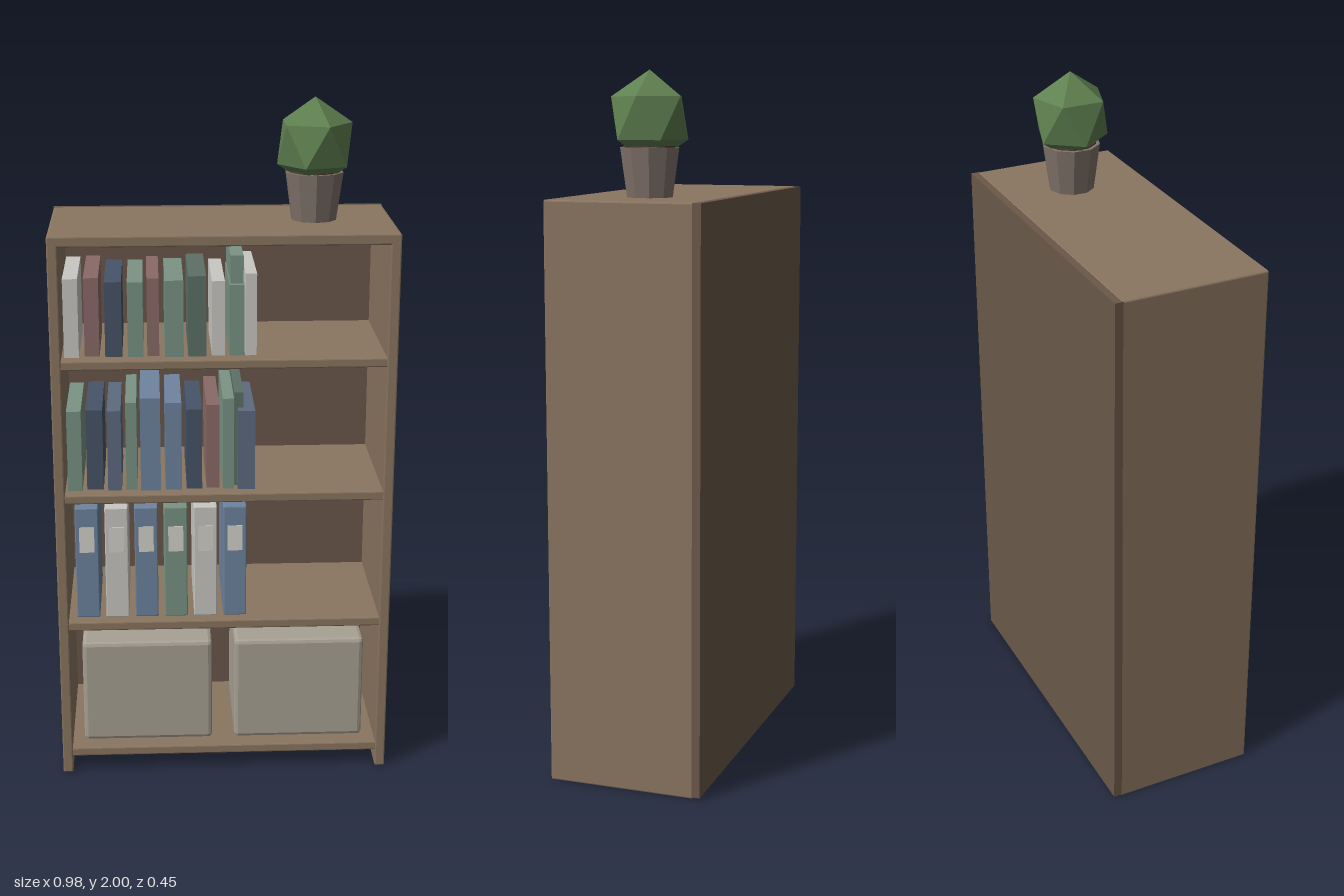
import * as THREE from 'three';
import { RoundedBoxGeometry } from 'three/addons/geometries/RoundedBoxGeometry.js';

const COLORS = {
  wood: 0x8a7560, back: 0x6b584a, carton: 0xa8a194, pot: 0x80736a, soil: 0x4a3c32, leaf: 0x5f8050,
  white: 0xc9c8c4, red: 0x8a6a68, navy: 0x475468, slate: 0x5d6a80, blue: 0x6f84a0,
  green: 0x7a9484, moss: 0x5c7066, label: 0xd6d3cb,
};
const materials = {};
function material(key) {
  materials[key] ??= new THREE.MeshStandardMaterial({ color: COLORS[key], flatShading: true });
  return materials[key];
}

// Box given by its minimum and maximum corners, with an optional edge chamfer
function block(parent, name, key, [x0, y0, z0], [x1, y1, z1], chamfer = 0) {
  const size = [x1 - x0, y1 - y0, z1 - z0];
  const geometry = chamfer ? new RoundedBoxGeometry(...size, 1, chamfer) : new THREE.BoxGeometry(...size);
  const mesh = new THREE.Mesh(geometry, material(key));
  mesh.name = name;
  mesh.position.set((x0 + x1) / 2, (y0 + y1) / 2, (z0 + z1) / 2);
  parent.add(mesh);
  return mesh;
}

function subgroup(parent, name) {
  const group = new THREE.Group();
  group.name = name;
  parent.add(group);
  return group;
}

export function createModel() {
  const model = new THREE.Group();
  model.name = 'bookcase';

  // Carcass: two sides, back, top and four shelves
  const carcass = subgroup(model, 'carcass');
  block(carcass, 'rightSide', 'wood', [-0.49, 0, -0.205], [-0.46, 1.652, 0.225], 0.004);
  block(carcass, 'leftSide', 'wood', [0.46, 0, -0.205], [0.49, 1.652, 0.225], 0.004);
  block(carcass, 'backPanel', 'back', [-0.49, 0.005, -0.225], [0.49, 1.652, -0.2]);
  block(carcass, 'topPanel', 'wood', [-0.488, 1.622, -0.205], [0.488, 1.653, 0.225], 0.004);
  const shelfTops = [0.08, 0.496, 0.896, 1.297];
  for (const y of shelfTops) {
    block(carcass, 'shelf', 'wood', [-0.465, y - 0.027, -0.205], [0.465, y, 0.222], 0.004);
  }

  // Storage boxes on the lowest shelf
  const cartons = subgroup(model, 'storageBoxes');
  for (const x of [-0.23, 0.227]) {
    block(cartons, 'storageBox', 'carton', [x - 0.195, 0.08, -0.16], [x + 0.195, 0.405, 0.175], 0.012);
  }

  // Binders with spine labels
  const binders = subgroup(model, 'binders');
  ['blue', 'white', 'blue', 'green', 'white', 'blue'].forEach((key, i) => {
    const x = -0.402 + i * 0.0868;
    block(binders, 'binder', key, [x - 0.034, 0.496, -0.125], [x + 0.034, 0.842, 0.185], 0.003);
    block(binders, 'spineLabel', 'label', [x - 0.022, 0.705, 0.18], [x + 0.022, 0.783, 0.188]);
  });

  // Rows of books: [left edge, right edge, height, color, front z]
  const rows = [
    [0.896, [
      [-0.452, -0.41, 0.241, 'green', 0.18], [-0.397, -0.349, 0.241, 'navy', 0.17],
      [-0.336, -0.296, 0.241, 'slate', 0.18], [-0.283, -0.251, 0.263, 'green', 0.175],
      [-0.241, -0.183, 0.279, 'blue', 0.185], [-0.169, -0.122, 0.263, 'blue', 0.18],
      [-0.108, -0.063, 0.241, 'navy', 0.175], [-0.05, -0.013, 0.253, 'red', 0.17],
      [-0.003, 0.029, 0.274, 'green', 0.18], [0.031, 0.058, 0.283, 'moss', 0.15],
      [0.04, 0.09, 0.238, 'slate', 0.185]]],
    [1.297, [
      [-0.452, -0.41, 0.227, 'white', 0.18], [-0.394, -0.352, 0.227, 'red', 0.17],
      [-0.336, -0.288, 0.216, 'navy', 0.175], [-0.272, -0.228, 0.216, 'green', 0.18],
      [-0.217, -0.183, 0.224, 'red', 0.17], [-0.167, -0.114, 0.221, 'green', 0.185],
      [-0.101, -0.05, 0.232, 'moss', 0.18], [-0.034, 0.003, 0.216, 'white', 0.175],
      [0.019, 0.056, 0.285, 'green', 0.16], [0.016, 0.058, 0.205, 'green', 0.175],
      [0.061, 0.093, 0.237, 'white', 0.175]]],
  ];
  for (const [y, books] of rows) {
    const row = subgroup(model, 'bookRow');
    for (const [x0, x1, height, key, z] of books) {
      block(row, 'book', key, [x0, y, z - 0.29], [x1, y + height, z]);
    }
  }

  // Potted plant on the top
  const plant = subgroup(model, 'plant');
  plant.position.set(0.265, 1.653, 0);
  const add = (name, geometry, key, y) => {
    const mesh = new THREE.Mesh(geometry, material(key));
    mesh.name = name;
    mesh.position.y = y;
    plant.add(mesh);
  };
  add('pot', new THREE.CylinderGeometry(0.085, 0.066, 0.137, 10), 'pot', 0.0685);
  add('soil', new THREE.CylinderGeometry(0.074, 0.074, 0.006, 10), 'soil', 0.138);
  const foliage = new THREE.IcosahedronGeometry(0.119, 0);
  foliage.rotateZ(-Math.atan(2 / (1 + Math.sqrt(5)))).scale(1, 1.1, 1);
  add('foliage', foliage, 'leaf', 0.216);

  return model;
}
